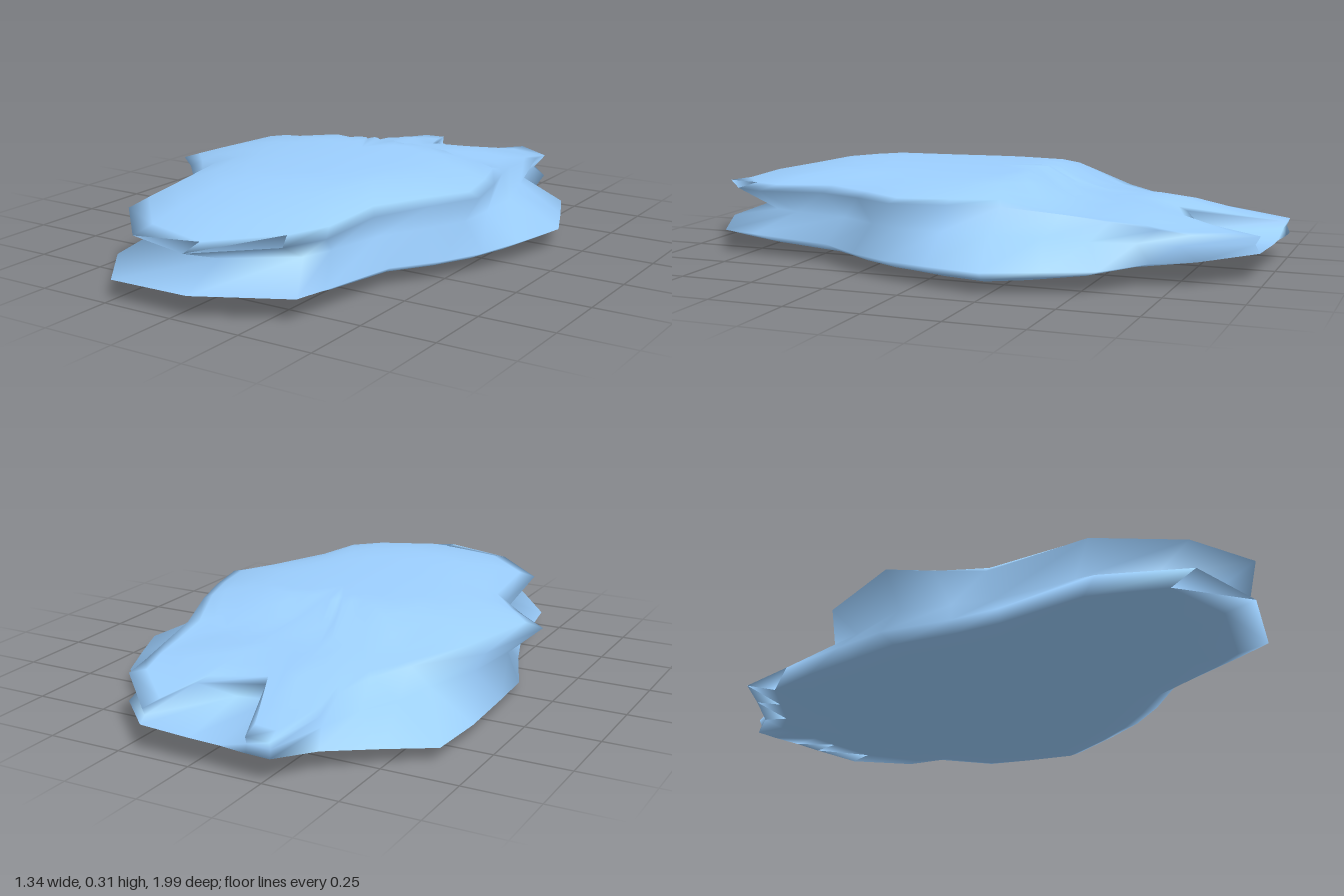
import * as THREE from 'three';
import { mergeVertices } from 'three/addons/utils/BufferGeometryUtils.js';

// Paired outline points, counterclockwise from the front: lower rim x, z, upper rim x, z
const OUTLINE = [
  [0.05, 0.98, 0.05, 0.99], [0.34, 0.84, 0.28, 0.82], [0.36, 0.72, 0.35, 0.7],
  [0.4, 0.42, 0.36, 0.45], [0.5, 0.27, 0.46, 0.27], [0.57, 0.13, 0.55, 0.12],
  [0.62, -0.03, 0.51, -0.06], [0.67, -0.23, 0.46, -0.22], [0.6, -0.4, 0.4, -0.4],
  [0.53, -0.56, 0.38, -0.55], [0.37, -0.68, 0.36, -0.7], [0.34, -0.82, 0.35, -0.8],
  [0.18, -0.98, 0.17, -0.98], [0, -0.99, 0.12, -0.77], [-0.1, -0.99, -0.08, -0.69],
  [-0.2, -1, -0.2, -1], [-0.28, -1, -0.28, -1], [-0.36, -0.86, -0.33, -0.8],
  [-0.5, -0.73, -0.31, -0.65], [-0.63, -0.62, -0.35, -0.52], [-0.64, -0.4, -0.43, -0.4],
  [-0.63, -0.15, -0.6, -0.23], [-0.62, 0.03, -0.67, 0.1], [-0.53, 0.25, -0.56, 0.2],
  [-0.48, 0.4, -0.45, 0.32], [-0.43, 0.74, -0.41, 0.7], [-0.25, 0.97, -0.2, 0.92],
];

// Height profiles along z, as [z, y] from back to front
const TOP = [[-1, 0.15], [-0.8, 0.18], [-0.65, 0.22], [-0.4, 0.225], [-0.3, 0.25], [-0.22, 0.31], [0.5, 0.315], [0.8, 0.275], [1, 0.22]];
const UPPER_RIM = [[-1, 0.145], [-0.75, 0.17], [-0.5, 0.2], [-0.2, 0.235], [0.2, 0.235], [1, 0.21]];
const LOWER_RIM = [[-1, 0.095], [-0.6, 0.065], [0.2, 0.055], [1, 0.08]];
const BOTTOM = [[-1, 0.09], [-0.8, 0.055], [-0.6, 0.03], [-0.2, 0.003], [0.4, 0.01], [0.8, 0.02], [1, 0.07]];

function height(profile, z) {
  for (let i = 1; i < profile.length; i++) {
    const [z0, y0] = profile[i - 1];
    const [z1, y1] = profile[i];
    if (z <= z1) return y0 + (y1 - y0) * Math.max(0, (z - z0) / (z1 - z0));
  }
  return profile[profile.length - 1][1];
}

// Both rims sit a little higher toward +x
const rimHeight = (profile, x, z) => height(profile, z) + 0.025 * x;
// Crown falls away to the sides; underside is slightly hollow in the middle
const crownHeight = (x, z) => height(TOP, z) - 0.13 * x * x;
const baseHeight = (x, z) => height(BOTTOM, z) + 0.022 * Math.max(0, 1 - (x / 0.4) ** 2);

// A ring inside a rim, shrunk and smoothed toward the middle, eased to a surface height
function innerRing(scale, ease, side, rim, surface) {
  const n = OUTLINE.length;
  const smooth = Math.min(1, (1 - scale) * 2.5);
  return OUTLINE.map((p, i) => {
    const before = OUTLINE[(i + n - 1) % n];
    const after = OUTLINE[(i + 1) % n];
    const [px, pz] = [side, side + 1].map(
      (k) => p[k] + smooth * ((before[k] + 2 * p[k] + after[k]) / 4 - p[k]));
    const x = px * scale;
    const z = -0.05 + (pz + 0.05) * scale;
    const rimY = rimHeight(rim, px, pz);
    return [x, rimY + (surface(x, z) - rimY) * ease, z];
  });
}

// The pinched groove between the lobes, closing at the rear tips and tucked under the rear notch
function waistRing() {
  return OUTLINE.map(([lx, lz, ux, uz]) => {
    const x = (lx + ux) / 2;
    const z = (lz + uz) / 2;
    const low = rimHeight(LOWER_RIM, lx, lz);
    const high = rimHeight(UPPER_RIM, ux, uz);
    if (uz - lz > 0.2) return [x * 0.75, low + 0.01, z * 0.75];
    let k = 0.88;
    if (z > 0.5) k = 0.82;
    if (z < -0.6) k = 0.88 + 0.11 * (-z - 0.6) / 0.4;
    return [x * k, (low + high) / 2, z * k];
  });
}

function loft(rings) {
  const n = OUTLINE.length;
  const index = [];
  for (let r = 0; r < rings.length - 1; r++) {
    for (let i = 0; i < n; i++) {
      const j = (i + 1) % n;
      const a = r * n + i, b = r * n + j, c = a + n, d = b + n;
      index.push(a, b, d, a, d, c);
    }
  }
  const geometry = new THREE.BufferGeometry();
  geometry.setAttribute('position', new THREE.Float32BufferAttribute(rings.flat(2), 3));
  geometry.setIndex(index);
  const merged = mergeVertices(geometry, 1e-5);
  merged.computeVertexNormals();
  return merged;
}

export function createModel() {
  const group = new THREE.Group();
  group.name = 'flattenedLobedBody';

  // Scale and ease of each ring, from the middle out and from the rim in
  const under = [[0, 1], [0.25, 1], [0.5, 1], [0.75, 0.9], [0.9, 0.5], [1, 0]];
  const over = [[1, 0], [0.93, 0.4], [0.83, 0.75], [0.68, 0.95], [0.55, 1], [0.42, 1], [0.3, 1], [0.18, 1], [0, 1]];

  // Underside, lower lobe, groove, upper lobe and crown in one smooth skin
  const rings = [
    ...under.map(([s, e]) => innerRing(s, e, 0, LOWER_RIM, baseHeight)),
    waistRing(),
    ...over.map(([s, e]) => innerRing(s, e, 2, UPPER_RIM, crownHeight)),
  ];
  const body = new THREE.Mesh(loft(rings), new THREE.MeshStandardMaterial({ color: 0x9ccfff }));
  body.name = 'body';
  group.add(body);
  return group;
}
